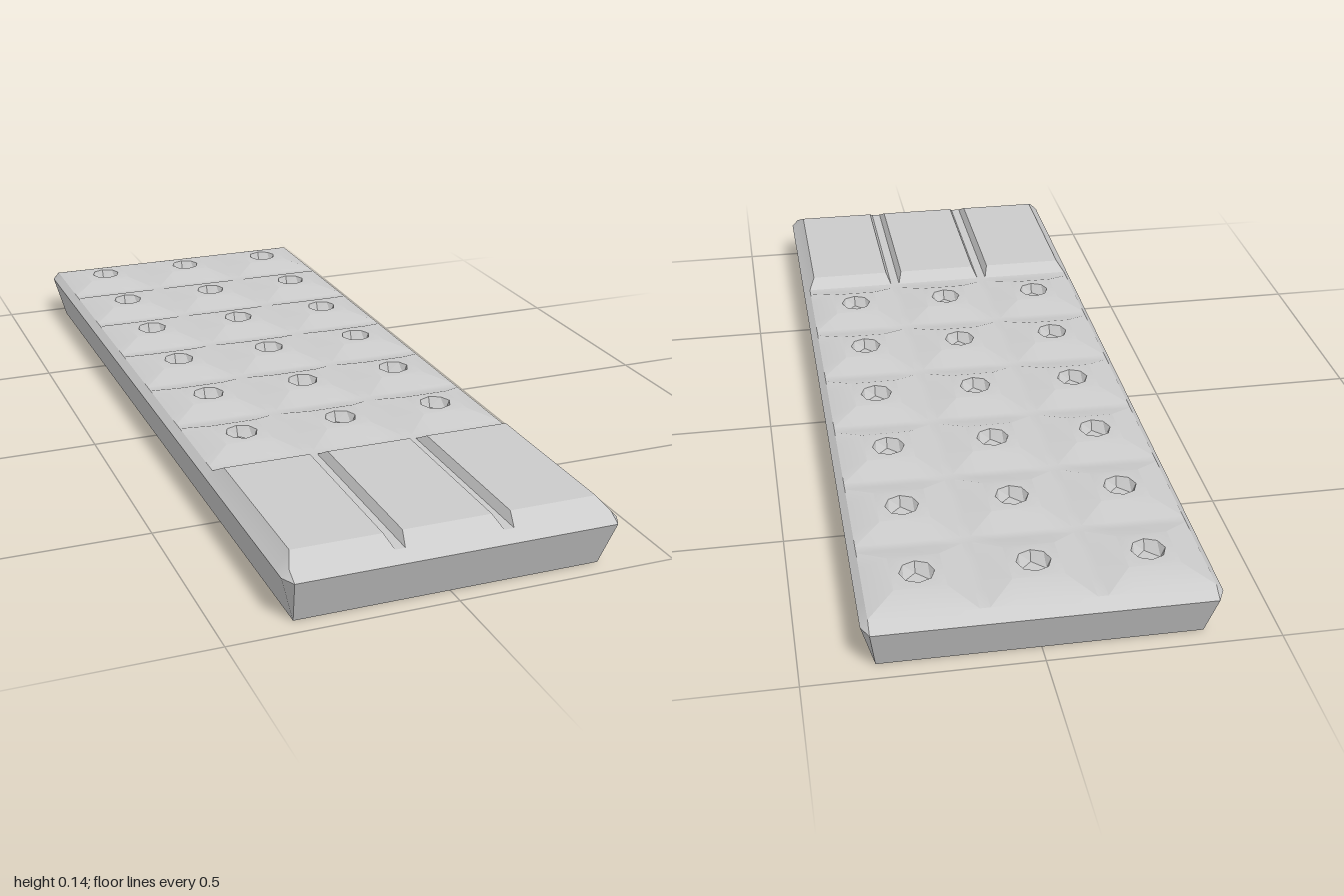
import * as THREE from 'three';
import { ConvexGeometry } from 'three/addons/geometries/ConvexGeometry.js';
import { toCreasedNormals } from 'three/addons/utils/BufferGeometryUtils.js';

const HIGH = 0.145, LOW = 0.125, RIM = 0.108; // pillow tops, valleys, outer edge
const HX = 0.373, HZ = 1, CX = 0.357, CZ = 0.968; // outline and where corner chamfers start
const PITCH = 0.243, FLAT = 0.055, HOLE = 0.037;

// Collects triangles that all face upwards
function upwardSurface() {
  const pos = [];
  const tri = (a, b, c) => {
    const ny = (b[2] - a[2]) * (c[0] - a[0]) - (b[0] - a[0]) * (c[2] - a[2]);
    pos.push(...a, ...(ny > 0 ? b : c), ...(ny > 0 ? c : b));
  };
  const build = (crease) => {
    const g = new THREE.BufferGeometry();
    g.setAttribute('position', new THREE.Float32BufferAttribute(pos, 3));
    return toCreasedNormals(g, crease);
  };
  return { tri, build };
}

// Grid of [position, height] lines; each crossing takes the lower height
function addGrid(surface, xs, zs, skip = () => false) {
  const vertex = ([x, hx], [z, hz]) => {
    const corner = Math.abs(x) === HX && Math.abs(z) === HZ;
    return corner
      ? [Math.sign(x) * (HX + CX) / 2, RIM, Math.sign(z) * (HZ + CZ) / 2]
      : [x, Math.min(hx, hz), z];
  };
  for (let i = 0; i < xs.length - 1; i++) {
    for (let j = 0; j < zs.length - 1; j++) {
      const a = vertex(xs[i], zs[j]), b = vertex(xs[i + 1], zs[j]);
      const c = vertex(xs[i + 1], zs[j + 1]), d = vertex(xs[i], zs[j + 1]);
      if (skip([a, b, c, d])) continue;
      // split along the ridge
      if (Math.abs(a[1] - c[1]) >= Math.abs(b[1] - d[1])) {
        surface.tri(a, b, c);
        surface.tri(a, c, d);
      } else {
        surface.tri(a, b, d);
        surface.tri(b, c, d);
      }
    }
  }
}

// Flat pillow top around an octagonal opening
function addPillowTop(surface, x, z) {
  const rim = (k) => [x + HOLE * Math.cos(k * Math.PI / 4), HIGH, z + HOLE * Math.sin(k * Math.PI / 4)];
  const corner = (q) => {
    const t = Math.PI / 4 + q * Math.PI / 2;
    return [x + FLAT * Math.sign(Math.cos(t)), HIGH, z + FLAT * Math.sign(Math.sin(t))];
  };
  for (let q = 0; q < 4; q++) {
    surface.tri(corner(q - 1), rim(2 * q), corner(q));
    surface.tri(corner(q), rim(2 * q), rim(2 * q + 1));
    surface.tri(corner(q), rim(2 * q + 1), rim(2 * q + 2));
  }
}

// Octagonal recess narrowing to a diamond floor
function dimpleGeometry() {
  const s = upwardSurface();
  const ring = (r, k, y) => [r * Math.cos(k * Math.PI / 4), y, r * Math.sin(k * Math.PI / 4)];
  const depth = -0.024, floor = 0.028;
  for (let k = 0; k < 8; k += 2) {
    const f0 = ring(floor, k, depth), f1 = ring(floor, k + 2, depth);
    s.tri(ring(HOLE, k, 0), ring(HOLE, k + 1, 0), f0);
    s.tri(ring(HOLE, k + 1, 0), ring(HOLE, k + 2, 0), f1);
    s.tri(ring(HOLE, k + 1, 0), f0, f1);
    s.tri([0, depth, 0], f0, f1);
  }
  return s.build(0.4);
}

export function createModel() {
  const model = new THREE.Group();
  const material = new THREE.MeshStandardMaterial({ color: 0xcccccc });
  const add = (geometry, name, parent = model) => {
    const mesh = new THREE.Mesh(geometry, material);
    mesh.name = name;
    parent.add(mesh);
    return mesh;
  };

  // Tapered body: sharp corners below, chamfered corners above
  const points = [];
  for (const sx of [-1, 1]) {
    for (const sz of [-1, 1]) {
      points.push(
        new THREE.Vector3(sx * 0.343, 0, sz * 0.955),
        new THREE.Vector3(sx * CX, RIM, sz * HZ),
        new THREE.Vector3(sx * HX, RIM, sz * CZ));
    }
  }
  add(new ConvexGeometry(points), 'body');

  // Pillow field: three by six
  const xCenters = [-PITCH, 0, PITCH];
  const zCenters = Array.from({ length: 6 }, (_, i) => -0.853 + PITCH * i);
  const valleys = [[-0.132, LOW], [-0.11, LOW], [0.11, LOW], [0.132, LOW]];
  const edges = [[-HX, RIM], [-CX, LOW], [CX, LOW], [HX, RIM]];
  const byPosition = (lines) => lines.sort((a, b) => a[0] - b[0]);
  const pillowX = byPosition([...edges, ...valleys,
    ...xCenters.flatMap((c) => [[c - FLAT, HIGH], [c + FLAT, HIGH]])]);
  const pillowZ = byPosition([[-HZ, RIM], [-CZ, LOW], [0.495, LOW],
    ...zCenters.flatMap((c) => [[c - FLAT, HIGH], [c + FLAT, HIGH], [c + 0.11, LOW]]),
    ...zCenters.slice(1).map((c) => [c - 0.11, LOW])]);
  const pillows = upwardSurface();
  addGrid(pillows, pillowX, pillowZ, (quad) => quad.every((v) => v[1] === HIGH));
  for (const x of xCenters) for (const z of zCenters) addPillowTop(pillows, x, z);
  add(pillows.build(0.45), 'pillowField');

  // Dimples in the pillow tops
  const dimples = new THREE.Group();
  dimples.name = 'dimples';
  const dimple = dimpleGeometry();
  for (const x of xCenters) {
    for (const z of zCenters) add(dimple, 'dimple', dimples).position.set(x, HIGH, z);
  }
  model.add(dimples);

  // Long plain panels split by two grooves
  const panelX = byPosition([...edges, ...valleys,
    ...[-1, 1].flatMap((s) => [0.1, 0.142, 0.342].map((x) => [s * x, HIGH]))]);
  const panelZ = [[0.495, LOW], [0.53, HIGH], [0.93, HIGH], [CZ, LOW], [HZ, RIM]];
  const panels = upwardSurface();
  addGrid(panels, panelX, panelZ);
  add(panels.build(0.4), 'panels');

  return model;
}
